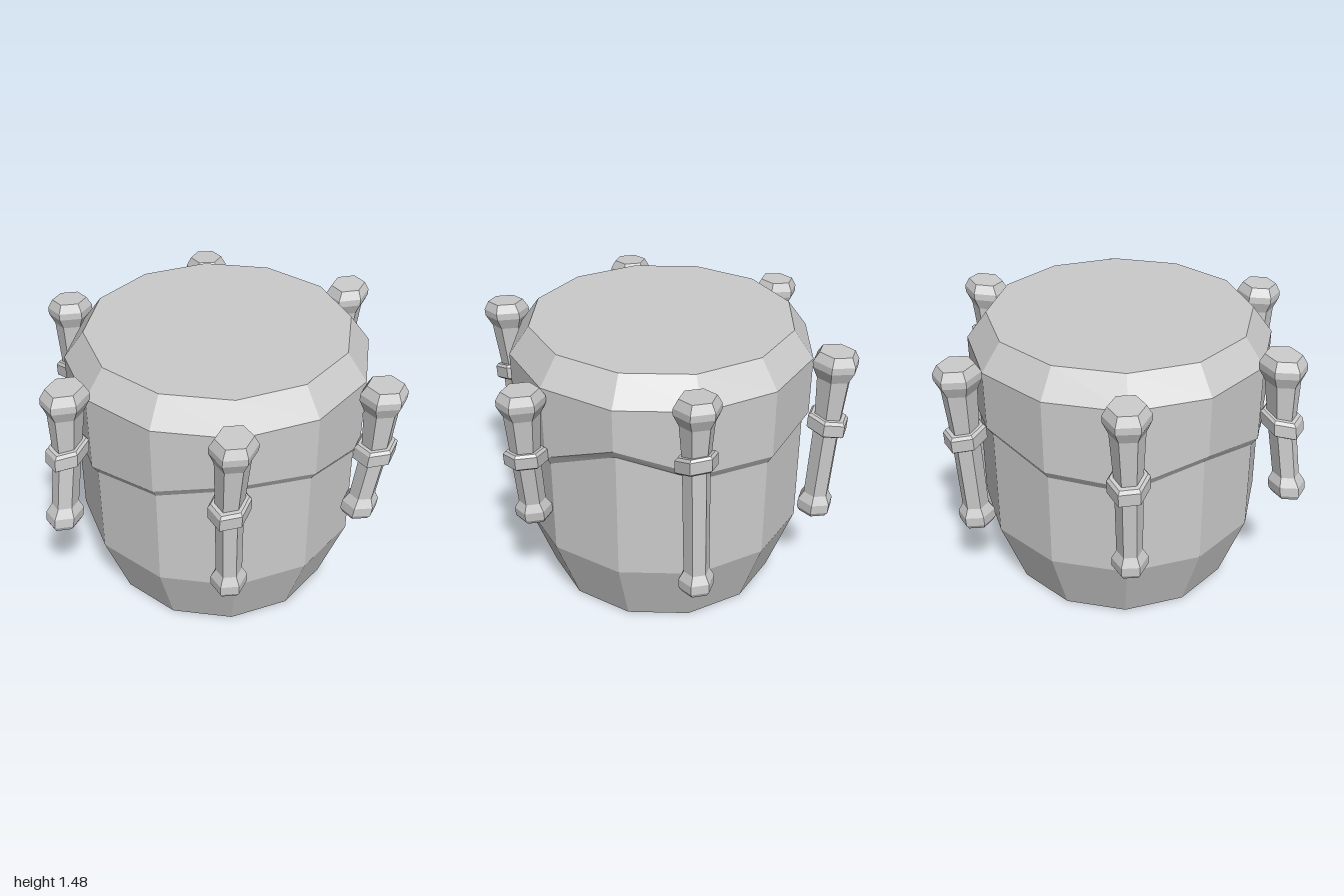
import * as THREE from 'three';

const material = new THREE.MeshStandardMaterial({ color: 0xcccccc, flatShading: true });

// One horizontal loop of points; height(i, angle) lifts single corners.
function ring(sides, radius, cx, cz, height, turn = 0, stretch = 1) {
  return Array.from({ length: sides }, (_, i) => {
    const a = (i / sides) * Math.PI * 2;
    const u = Math.cos(a + Math.PI / 6 * (turn ? 1 : 0)) * radius * stretch;
    const v = Math.sin(a + Math.PI / 6 * (turn ? 1 : 0)) * radius;
    const x = u * Math.cos(turn) - v * Math.sin(turn);
    const z = u * Math.sin(turn) + v * Math.cos(turn);
    return new THREE.Vector3(cx + x, height(i, x, z), cz + z);
  });
}

// Faceted skin over loops listed from bottom to top, closed at both ends.
function loft(name, rings) {
  const pos = [];
  const tri = (...pts) => pts.forEach((p) => pos.push(p.x, p.y, p.z));
  const middle = (r) => r.reduce((s, p) => s.add(p), new THREE.Vector3()).divideScalar(r.length);
  const n = rings[0].length;
  const low = rings[0], high = rings[rings.length - 1];
  const lowMid = middle(low), highMid = middle(high);
  for (let i = 0; i < n; i++) {
    const j = (i + 1) % n;
    for (let k = 0; k + 1 < rings.length; k++) {
      const a = rings[k], b = rings[k + 1];
      tri(a[i], b[i], b[j]);
      tri(a[i], b[j], a[j]);
    }
    tri(lowMid, low[i], low[j]);
    tri(highMid, high[j], high[i]);
  }
  const geometry = new THREE.BufferGeometry();
  geometry.setAttribute('position', new THREE.Float32BufferAttribute(pos, 3));
  geometry.computeVertexNormals();
  const mesh = new THREE.Mesh(geometry, material);
  mesh.name = name;
  return mesh;
}

// Peg bent at its band: bottom, band and top are points on its axis.
function createPeg(bottom, band, top, tilt) {
  const peg = new THREE.Group();
  peg.name = 'peg';
  const [b, m, t] = [bottom, band, top].map((p) => new THREE.Vector3(...p));
  const turn = Math.atan2(m.z, m.x) || 1e-6;
  const at = (y, r, lean = 0.25) => {
    const c = y < m.y
      ? b.clone().lerp(m, (y - b.y) / (m.y - b.y))
      : m.clone().lerp(t, (y - m.y) / (t.y - m.y));
    return ring(6, r, c.x, c.z, (i, x, z) => y + lean * (x * tilt[0] + z * tilt[1]), turn, 1.06);
  };
  peg.add(loft('pegShaft', [
    at(b.y, 0.075), at(b.y + 0.025, 0.09), at(b.y + 0.075, 0.09), at(b.y + 0.12, 0.065),
    at(m.y, 0.068),
    at(t.y - 0.14, 0.085), at(t.y - 0.08, 0.113), at(t.y - 0.045, 0.113), at(t.y, 0.088),
  ]));
  peg.add(loft('pegBand', [
    at(m.y - 0.045, 0.09, 1), at(m.y - 0.035, 0.103, 1),
    at(m.y + 0.03, 0.103, 1), at(m.y + 0.045, 0.09, 1),
  ]));
  return peg;
}

export function createModel() {
  const drum = new THREE.Group();
  drum.name = 'drum';

  // Barrel
  const level = (r, y) => ring(12, r, 0, 0, () => y);
  drum.add(loft('barrel', [level(0.625, 0), level(0.76, 0.38), level(0.757, 1.2)]));

  // Stretched skin with an uneven hem
  const hem = [0.95, 1.02, 1.06, 0.98, 0.93, 1.02, 0.92, 0.95, 1.03, 0.98, 1.0, 1.12];
  drum.add(loft('drumSkin', [
    ring(12, 0.757, 0, 0, (i) => hem[i] - 0.05),
    ring(12, 0.79, 0, 0, (i) => hem[i]),
    level(0.79, 1.34),
    level(0.685, 1.48),
  ]));

  // Six pegs: bottom, band, top, tilt of the band along x and z
  const pegs = [
    [[0.83, 0.58, 0.07], [0.88, 0.98, 0.035], [0.89, 1.36, 0.02], [0.1, -0.15]],
    [[0.39, 0.49, 0.77], [0.395, 1.01, 0.78], [0.42, 1.43, 0.79], [0.1, -0.25]],
    [[-0.49, 0.66, 0.84], [-0.465, 1.08, 0.78], [-0.455, 1.44, 0.76], [0.15, -0.2]],
    [[-0.86, 0.49, 0.01], [-0.88, 1.01, 0], [-0.885, 1.43, -0.01], [0.25, 0.1]],
    [[-0.4, 0.46, -0.77], [-0.42, 1.01, -0.79], [-0.43, 1.41, -0.8], [0.1, 0.15]],
    [[0.45, 0.37, -0.73], [0.45, 1.11, -0.71], [0.46, 1.46, -0.72], [0.1, -0.35]],
  ];
  pegs.forEach((p) => drum.add(createPeg(...p)));
  return drum;
}
